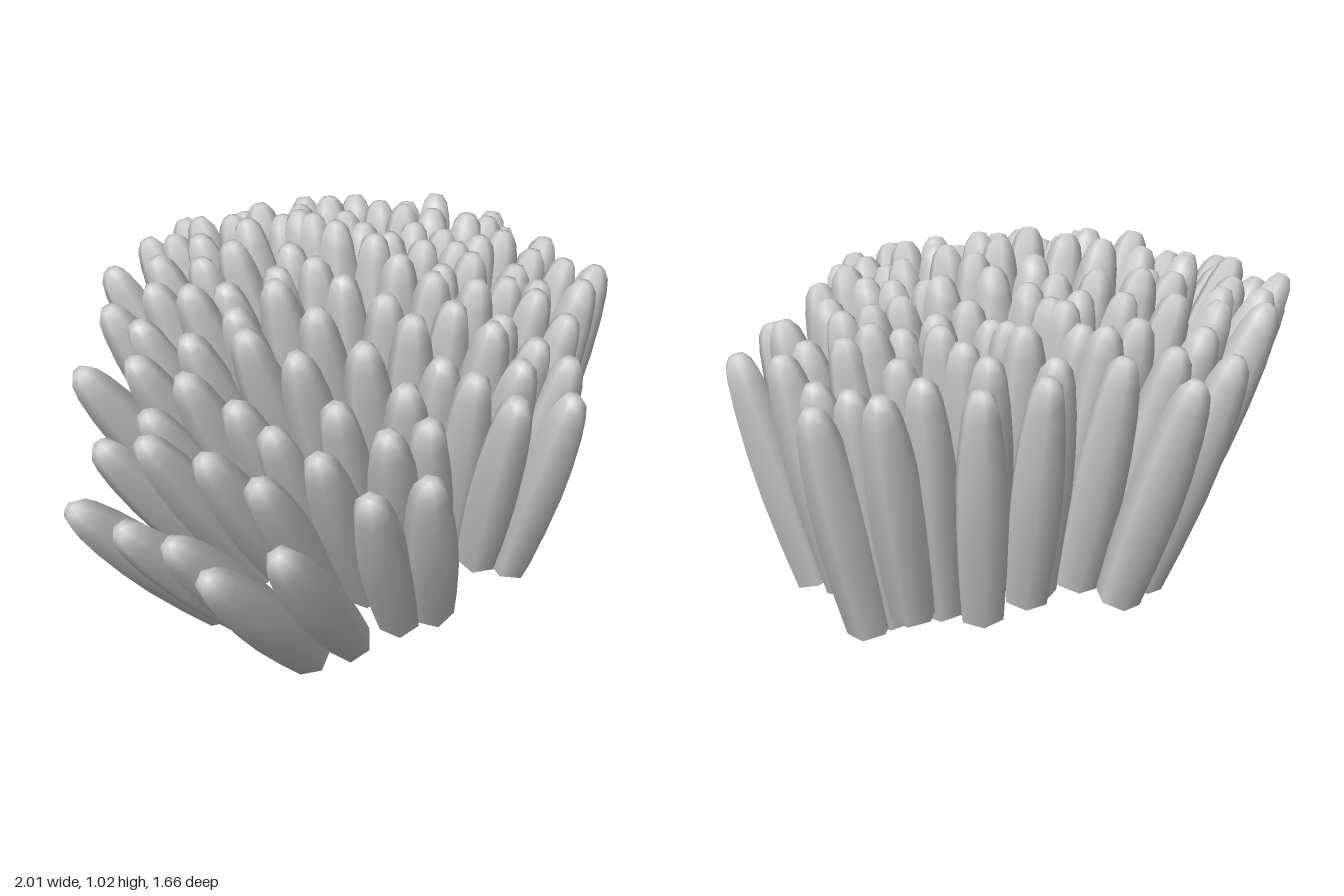
import * as THREE from 'three';

// Tips of the outermost fingers, seen from above (x, z)
const RIM = [
  [-0.98, 0.1], [-0.95, 0.28], [-0.9, 0.43], [-0.9, 0.58], [-0.75, 0.69], [-0.48, 0.74], [-0.32, 0.8],
  [0.07, 0.74], [0.23, 0.8], [0.36, 0.67], [0.53, 0.5], [0.78, 0.34], [0.94, 0.25], [0.9, 0.06],
  [0.9, -0.12], [0.98, -0.25], [0.86, -0.4], [0.63, -0.54], [0.47, -0.62], [0.23, -0.64], [0.11, -0.8],
  [-0.08, -0.74], [-0.35, -0.56], [-0.48, -0.4], [-0.72, -0.21], [-0.83, 0.03],
];

// The point where fingers stand upright; all others lean away from it
const CENTRE = { x: 0.29, z: -0.08 };

// Inner rings: scale of the rim outline and number of fingers
const RINGS = [[0.84, 26], [0.68, 21], [0.52, 16], [0.36, 11], [0.2, 6], [0.02, 1]];

// One finger of unit height: open narrow foot, swollen middle, blunt tip
function fingerGeometry() {
  const profile = [
    [0.066, 0], [0.075, 0.2], [0.08, 0.42], [0.077, 0.6],
    [0.068, 0.77], [0.056, 0.89], [0.044, 0.955], [0.024, 0.993], [0, 1],
  ].map(([r, y]) => new THREE.Vector2(r, y));
  return new THREE.LatheGeometry(profile, 6);
}

export function createModel() {
  const group = new THREE.Group();
  group.name = 'fingerCluster';
  const geometry = fingerGeometry();
  const material = new THREE.MeshStandardMaterial({ color: 0xcccccc, side: THREE.DoubleSide });
  const up = new THREE.Vector3(0, 1, 0);

  let seed = 7;
  const jitter = (amount) => {
    seed = (seed * 16807) % 2147483647;
    return (seed / 2147483647 - 0.5) * 2 * amount;
  };

  // Tips lie on a low dome; feet lie closer together on a parallel dome
  function addFinger(x, z, name) {
    const dx = x - CENTRE.x;
    const dz = z - CENTRE.z;
    const footX = CENTRE.x + dx * (dx > 0 ? 0.72 : 0.58);
    const footZ = CENTRE.z + dz * (dz > 0 ? 0.74 : 0.66);
    const tipY = 0.96 - (x < 0 ? 0.31 : 0.22) * x * x - 0.25 * z * z + jitter(0.03);
    const length = 0.74 - 0.08 * Math.min(x, 0) + jitter(0.015);
    const spread = Math.hypot(x - footX, z - footZ);
    const foot = new THREE.Vector3(footX, tipY - Math.sqrt(length ** 2 - spread ** 2), footZ);
    const axis = new THREE.Vector3(x, tipY, z).sub(foot).normalize();

    const finger = new THREE.Mesh(geometry, material);
    finger.name = name;
    finger.position.copy(foot);
    finger.quaternion.setFromUnitVectors(up, axis);
    finger.rotateY(jitter(Math.PI));
    finger.scale.y = length;
    group.add(finger);
  }

  // Outer ring
  RIM.forEach(([x, z]) => addFinger(x, z, 'outerFinger'));

  // Inner rings follow the rim outline shrunk towards the centre
  const outline = new THREE.CatmullRomCurve3(RIM.map(([x, z]) => new THREE.Vector3(x, 0, z)), true);
  RINGS.forEach(([scale, count], ring) => {
    for (let i = 0; i < count; i++) {
      const p = outline.getPointAt(((i + 0.5 * (ring % 2) + 0.5) / count) % 1);
      addFinger(
        CENTRE.x + (p.x - CENTRE.x) * scale + jitter(0.02),
        CENTRE.z + (p.z - CENTRE.z) * scale + jitter(0.02),
        'innerFinger',
      );
    }
  });

  // Stand on the ground, centred
  group.updateMatrixWorld(true);
  const box = new THREE.Box3().setFromObject(group, true);
  const middle = box.getCenter(new THREE.Vector3());
  group.position.set(-middle.x, -box.min.y, -middle.z);
  return group;
}
